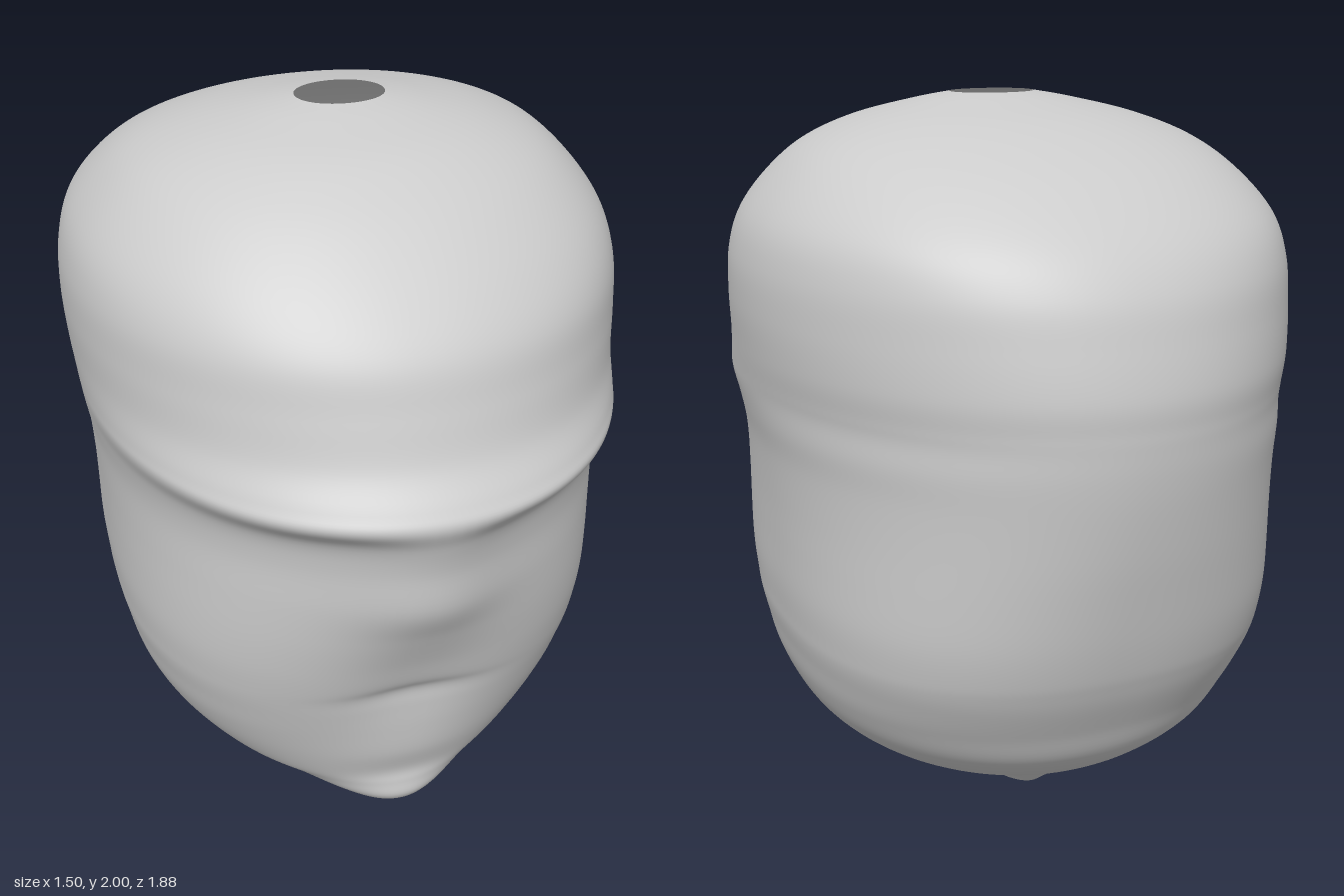
import * as THREE from 'three';

// Horizontal rings from chin to crown:
// height, half width, front z on the midline, front z beside it, back z
const RINGS = [
  [0, .12, .43, .43, -.27], [.04, .17, .54, .53, -.32], [.08, .25, .64, .61, -.37],
  [.12, .335, .677, .645, -.42], [.17, .43, .675, .66, -.51], [.22, .52, .672, .672, -.60],
  [.31, .60, .698, .692, -.695], [.41, .648, .71, .715, -.745], [.50, .67, .715, .738, -.79],
  [.56, .683, .718, .753, -.815], [.61, .688, .745, .766, -.832], [.70, .695, .778, .788, -.855],
  [.82, .697, .83, .815, -.88], [.94, .70, .884, .835, -.903], [1.07, .708, .894, .848, -.923],
  [1.16, .722, .913, .872, -.933], [1.23, .732, .937, .935, -.937], [1.275, .737, .915, .915, -.938],
  [1.355, .745, .857, .857, -.937], [1.47, .752, .815, .815, -.912], [1.59, .745, .77, .77, -.872],
  [1.70, .71, .68, .68, -.79], [1.81, .625, .56, .56, -.645], [1.885, .53, .455, .455, -.495],
  [1.94, .395, .35, .35, -.34], [1.98, .23, .21, .21, -.17], [2, .12, .12, .12, -.07],
];

const bell = (v, centre, radius) => Math.exp(-(((v - centre) / radius) ** 2));
const signedPower = (v, e) => Math.sign(v) * Math.abs(v) ** e;

const smoothCurve = (toPoint) =>
  new THREE.CatmullRomCurve3(RINGS.map(toPoint), false, 'catmullrom', 0.5);

function headGeometry(rows = 156, cols = 144) {
  const sides = smoothCurve(([y, w, , , b]) => new THREE.Vector3(w, y, b));
  const fronts = smoothCurve(([y, , mid, beside]) => new THREE.Vector3(mid, y, beside));
  const positions = [], index = [];
  for (let i = 0; i <= rows; i++) {
    const { x: width, y, z: back } = sides.getPoint(i / rows);
    const { x: midFront, z: sideFront } = fronts.getPoint(i / rows);
    const middle = (sideFront + back) / 2, depth = (sideFront - back) / 2;
    // Rings are squarer at the cheeks and jaw and at the edge of the crown
    const power = 1 - 0.16 * bell(y, 0.62, 0.38) - 0.08 * bell(y, 1.77, 0.2);
    for (let j = 0; j < cols; j++) {
      const angle = (j / cols) * Math.PI * 2;
      const c = Math.cos(angle);
      const x = width * signedPower(Math.sin(angle), power);
      let z = middle + depth * signedPower(c, c > 0 ? power - 0.04 : power);
      // Nose, mouth and chin stand along the midline between sockets and cheeks
      if (c > 0) z += (midFront - sideFront) * bell(x, 0, 0.18) * c;
      positions.push(x, y, z);
      if (i < rows) {
        const a = i * cols + j, b = i * cols + ((j + 1) % cols);
        index.push(a, b, a + cols, b, b + cols, a + cols);
      }
    }
  }
  const geometry = new THREE.BufferGeometry();
  geometry.setAttribute('position', new THREE.Float32BufferAttribute(positions, 3));
  geometry.setIndex(index);
  geometry.computeVertexNormals();
  return geometry;
}

export function createModel() {
  const group = new THREE.Group();
  group.name = 'headModel';
  // Thin shell, open at the crown and under the chin
  const material = new THREE.MeshStandardMaterial({ color: 0xcccccc, side: THREE.DoubleSide });
  const head = new THREE.Mesh(headGeometry(), material);
  head.name = 'headShell';
  group.add(head);
  return group;
}
